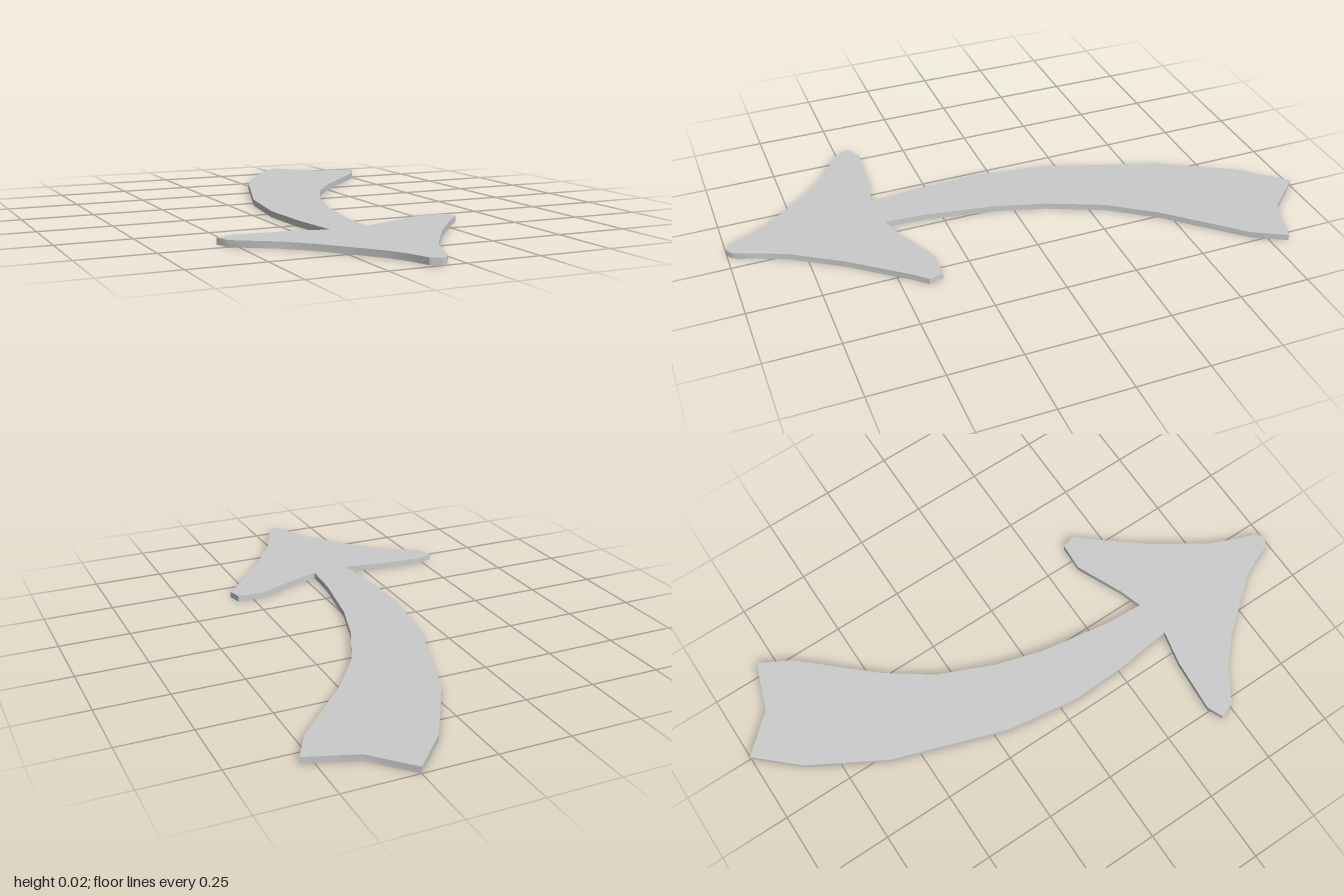
import * as THREE from 'three';
import { toCreasedNormals } from 'three/addons/utils/BufferGeometryUtils.js';

const THICKNESS = 0.022;

// Outline pieces as [x, z], listed in order around the arrow
const notchedTail = [[0.12, -0.86], [0.25, -1], [0.37, -0.87], [0.54, -0.81], [0.48, -0.7]];
const shaftLeftEdge = [[0.26, -0.46], [0.145, -0.3], [0.06, -0.105], [0.01, 0.065], [-0.03, 0.305], [-0.04, 0.455]];
const leftBarb = [[0.04, 0.43], [0.21, 0.355], [0.308, 0.36], [0.322, 0.41], [0.28, 0.455], [0.135, 0.635], [0.02, 0.81]];
const tip = [[-0.025, 0.915], [-0.045, 0.97], [-0.06, 0.99], [-0.078, 1], [-0.11, 0.98], [-0.135, 0.91], [-0.17, 0.845]];
const rightBarb = [[-0.315, 0.665], [-0.4, 0.585], [-0.525, 0.505], [-0.547, 0.45], [-0.49, 0.425], [-0.3, 0.44], [-0.175, 0.467]];
const shaftRightEdge = [[-0.198, 0.275], [-0.206, 0.065], [-0.167, -0.2], [-0.03, -0.6]];

export function createModel() {
  const group = new THREE.Group();
  group.name = 'curvedArrow';

  // Flat plate: the outline is extruded, then laid down with its top facing +y
  const outline = [...notchedTail, ...shaftLeftEdge, ...leftBarb, ...tip, ...rightBarb, ...shaftRightEdge];
  const shape = new THREE.Shape(outline.map(([x, z]) => new THREE.Vector2(x, -z)));
  const plate = new THREE.ExtrudeGeometry(shape, { depth: THICKNESS, bevelEnabled: false });
  plate.rotateX(-Math.PI / 2);

  // Rim blends along the curves and stays sharp at the corners
  const arrow = new THREE.Mesh(
    toCreasedNormals(plate, Math.PI / 5),
    new THREE.MeshStandardMaterial({ color: 0xcccccc })
  );
  arrow.name = 'arrowPlate';
  group.add(arrow);
  return group;
}
